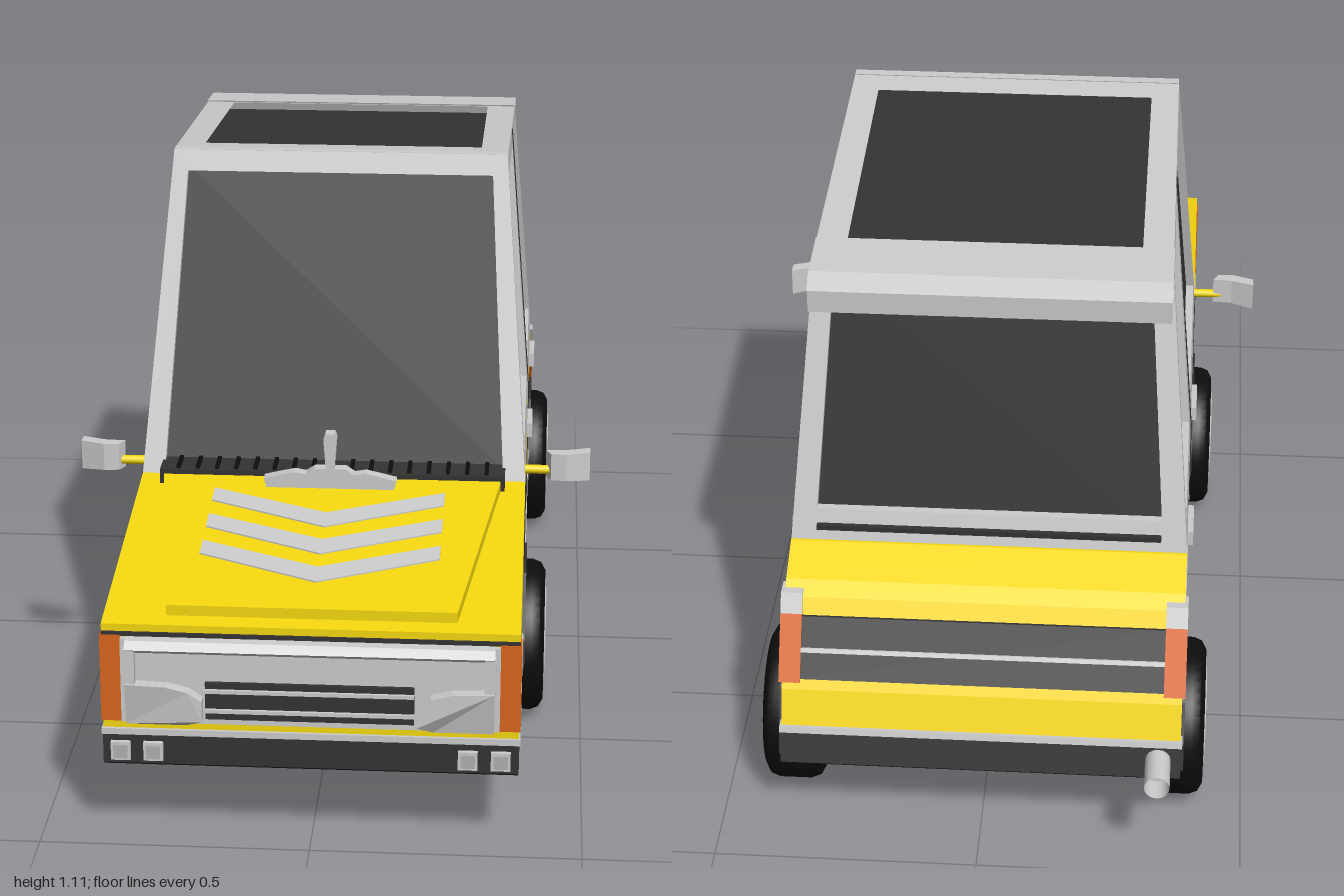
import * as THREE from 'three';
import { toCreasedNormals } from 'three/addons/utils/BufferGeometryUtils.js';
import { ConvexGeometry } from 'three/addons/geometries/ConvexGeometry.js';

const mat = (color) => new THREE.MeshStandardMaterial({ color });
const grey = mat(0xcccccc), yellow = mat(0xf5d70f), dark = mat(0x333333);
const black = mat(0x0d0d0d), orange = mat(0xd9641e);

// Sloping surfaces of the car
const sideX = (y) => 0.38 - Math.max(0, y - 0.5) * 0.08;
const frontZ = (y) => 0.38 - 0.344 * (y - 0.5);
const rearZ = (y) => -0.655 + 0.257 * (y - 0.5);
const roofY = (z) => 1.095 + 0.09 * z;
const wingY = (z) => 0.43 + 0.12 * (0.965 - z);
const tailZ = (y) => -0.77 - (0.445 - y) * 0.548;

export function createModel() {
  const car = new THREE.Group();
  car.name = 'car';

  const add = (name, geometry, material, parent = car) => {
    const mesh = new THREE.Mesh(geometry, material);
    mesh.name = name;
    parent.add(mesh);
    return mesh;
  };
  const toPoints = (list) => list.map(([a, b]) => new THREE.Vector2(a, b));

  // Extrude an outline with holes, then place each vertex by a rule (a, b, depth) -> [x, y, z]
  const panel = (name, outline, holes, t, material, rule) => {
    const shape = new THREE.Shape(toPoints(outline));
    holes.forEach((h) => shape.holes.push(new THREE.Path(toPoints(h))));
    const g = new THREE.ExtrudeGeometry(shape, { depth: t, bevelEnabled: false });
    const p = g.attributes.position;
    for (let i = 0; i < p.count; i++) p.setXYZ(i, ...rule(p.getX(i), p.getY(i), p.getZ(i)));
    g.computeVertexNormals();
    return add(name, g, material);
  };
  // Side outline in (z, y) running across from x0 to x1
  const prism = (name, outline, x0, x1, material) =>
    panel(name, outline, [], x1 - x0, material, (a, b, d) => [x1 - d, b, a]);
  const across = (name, outline, half, material) => prism(name, outline, -half, half, material);
  // Panel lying on one flank, standing proud by out
  const flank = (name, s, outline, holes, t, out, material) =>
    panel(name, outline, holes, t, material, (a, b, d) =>
      [s > 0 ? sideX(b) + out - d : -sideX(b) - out + t - d, b, a]);
  const box = (name, w, h, d, x, y, z, material) =>
    add(name, new THREE.BoxGeometry(w, h, d), material).position.set(x, y, z);
  const mirrored = (half) => [...half, ...half.map(([x, y]) => [-x, y]).reverse()];

  // Lower body
  across('body', [[0.965, 0.21], [0.965, 0.43], [0.38, 0.5], [-0.66, 0.5], [-0.74, 0.465],
    [-0.77, 0.445], [-0.855, 0.29], [-0.885, 0.21]], 0.38, yellow);
  across('sill', [[0.97, 0.155], [0.97, 0.213], [-0.888, 0.213], [-0.905, 0.155]], 0.381, dark);
  across('floor', [[0.968, 0.152], [0.968, 0.156], [-0.903, 0.156], [-0.903, 0.152]], 0.38, black);
  across('trimLine', [[0.971, 0.212], [0.971, 0.224], [-0.886, 0.224], [-0.889, 0.212]], 0.383, grey);

  // Bonnet with chevron stripes
  panel('bonnet', [[0.265, 0.93], [0.335, 0.4], [-0.335, 0.4], [-0.265, 0.93]], [], 0.03, yellow,
    (a, b, d) => [a, wingY(b) + 0.02 - d, b]);
  for (let i = 0; i < 3; i++) {
    const z = 0.48 + i * 0.105;
    panel('bonnetStripe', [[0, z + 0.09], [0.225, z], [0.225, z + 0.05], [0, z + 0.145],
      [-0.225, z + 0.05], [-0.225, z]], [], 0.006, grey,
    (a, b, d) => [a, wingY(b) + 0.023 - d, b]);
  }

  // Cowl vent and bonnet ornament
  box('cowl', 0.68, 0.03, 0.075, 0, 0.51, 0.385, dark);
  for (let i = -8; i <= 8; i++) box('cowlRib', 0.008, 0.006, 0.06, i * 0.038, 0.527, 0.385, black);
  const ornament = (name, outline) => panel(name, outline, [], 0.025, grey, (a, b, d) => [a, b, 0.443 + d]);
  ornament('ornamentBase', mirrored([[0.085, 0.505], [0.06, 0.53], [0.03, 0.55]]));
  ornament('ornamentFin', mirrored([[0.008, 0.54], [0.013, 0.612], [0.009, 0.622]]));
  for (const s of [1, -1]) {
    ornament('ornamentWing', [[0.03, 0.535], [0.055, 0.508], [0.125, 0.51], [0.13, 0.528], [0.07, 0.542]]
      .map(([x, y]) => [x * s, y]));
  }

  // Nose: recessed panel, brow, grille and lamps
  box('nosePanel', 0.69, 0.165, 0.02, 0, 0.323, 0.966, grey);
  box('noseGap', 0.76, 0.008, 0.01, 0, 0.412, 0.964, dark);
  across('noseBrow', [[0.96, 0.385], [0.99, 0.385], [0.997, 0.392], [0.985, 0.406], [0.96, 0.408]], 0.335, grey);
  box('grille', 0.38, 0.072, 0.02, 0, 0.29, 0.974, dark);
  for (const y of [0.272, 0.311]) box('grilleBar', 0.38, 0.007, 0.008, 0, y, 0.986, grey);
  for (const s of [1, -1]) {
    panel('headlight', [[0.335, 0.24], [0.225, 0.24], [0.195, 0.255], [0.195, 0.295], [0.22, 0.312],
      [0.26, 0.322], [0.335, 0.325]].map(([x, y]) => [x * s, y]), [], 0.035, grey,
    (a, b, d) => [a, b, 0.965 + d * (b < 0.25 ? 0.5 : 1)]);
    box('headlightCheek', 0.02, 0.07, 0.03, s * 0.327, 0.355, 0.98, grey);
    box('indicator', 0.038, 0.17, 0.036, s * 0.364, 0.325, 0.953, orange);
    for (const x of [0.288, 0.348]) {
      box('fogLampRim', 0.036, 0.036, 0.014, s * x, 0.182, 0.972, grey);
      box('fogLamp', 0.026, 0.026, 0.014, s * x, 0.182, 0.975, mat(0xb0b0b0));
    }
  }

  // Tail: dark bands, dividing line and lamps on the rear slope
  const tailBand = (name, y0, y1, x0, x1, out, material) => prism(name,
    [[tailZ(y0) + 0.03, y0], [tailZ(y0) - out, y0], [tailZ(y1) - out, y1], [tailZ(y1) + 0.03, y1]], x0, x1, material);
  tailBand('tailPanel', 0.31, 0.415, -0.345, 0.345, 0.005, dark);
  tailBand('tailLine', 0.356, 0.363, -0.345, 0.345, 0.008, grey);
  for (const s of [1, -1]) {
    const [x0, x1] = s > 0 ? [0.345, 0.386] : [-0.386, -0.345];
    tailBand('tailLamp', 0.305, 0.42, x0, x1, 0.008, orange);
    tailBand('reverseLamp', 0.42, 0.455, x0, x1, 0.008, grey);
  }
  const pipe = new THREE.CylinderGeometry(0.024, 0.024, 0.085, 16, 1, true).rotateX(Math.PI / 2);
  const pipeMat = mat(0xcccccc);
  pipeMat.side = THREE.DoubleSide;
  add('exhaust', pipe, pipeMat).position.set(-0.338, 0.205, -0.9575);
  add('exhaustCore', new THREE.CircleGeometry(0.024, 16), pipeMat).position.set(-0.338, 0.205, -0.95);

  // Cabin: dark glass core inside grey frames
  const glass = [];
  for (const s of [1, -1]) {
    for (const [x, y, z] of [[0.365, 0.49, 0.364], [0.318, 1.09, 0.16], [0.321, 1.033, -0.503], [0.365, 0.49, -0.64]])
      glass.push(new THREE.Vector3(s * x, y, z));
  }
  add('glass', new ConvexGeometry(glass), dark);
  for (const s of [1, -1]) {
    flank('sideFrame', s, [[0.38, 0.5], [0.17, 1.11], [-0.515, 1.048], [-0.655, 0.5]], [
      [[0.32, 0.545], [0.163, 1.07], [-0.163, 1.043], [-0.135, 0.545]],
      [[-0.25, 0.545], [-0.237, 1.037], [-0.49, 1.012], [-0.61, 0.545]]], 0.022, 0, grey);
  }
  panel('windscreenFrame', mirrored([[0.379, 0.5], [0.331, 1.11]]),
    [mirrored([[0.335, 0.52], [0.303, 1.07]])], 0.022, grey, (a, b, d) => [a, b, frontZ(b) - 0.022 + d]);
  panel('rearFrame', mirrored([[0.379, 0.5], [0.336, 1.047]]),
    [mirrored([[0.33, 0.56], [0.3, 1.0]])], 0.022, grey, (a, b, d) => [a, b, rearZ(b) + d]);
  panel('roofFrame', mirrored([[0.332, 0.17], [0.337, -0.515]]),
    [mirrored([[0.278, 0.09], [0.278, -0.46]])], 0.022, grey, (a, b, d) => [a, roofY(b) - d, b]);
  across('spoiler', [[-0.465, 1.056], [-0.58, 1.046], [-0.602, 1.036], [-0.61, 1.02], [-0.608, 0.975],
    [-0.58, 0.975], [-0.575, 1.01], [-0.48, 1.02]], 0.338, grey);
  box('rearWindowSeal', 0.66, 0.01, 0.015, 0, 0.528, -0.65, dark);

  // Flank details, mirrored
  const tire = toCreasedNormals(new THREE.LatheGeometry(toPoints([[0, -0.056], [0.125, -0.056], [0.145, -0.046],
    [0.152, -0.028], [0.152, 0.032], [0.146, 0.048], [0.13, 0.057], [0.104, 0.057], [0.1, 0.042], [0, 0.042]]), 40), 0.7);
  const rim = toCreasedNormals(new THREE.LatheGeometry(toPoints([[0.104, 0.03], [0.104, 0.055], [0.095, 0.06],
    [0.086, 0.046], [0.066, 0.046], [0.061, 0.053], [0.036, 0.053], [0.032, 0.059], [0, 0.059]]), 40), 0.4);
  for (const s of [1, -1]) {
    for (const z of [0.335, -0.705]) {
      flank('wheelArch', s, [[0.18, 0.158], [0.165, 0.21], [0.13, 0.28], [0.08, 0.32], [-0.08, 0.32],
        [-0.13, 0.28], [-0.165, 0.21], [-0.18, 0.158]].map(([a, y]) => [a + z, y]), [], 0.02, 0.006, dark);
      const wheel = new THREE.Group();
      wheel.name = 'wheel';
      wheel.rotation.z = -s * Math.PI / 2;
      wheel.position.set(s * 0.367, 0.154, z);
      add('tire', tire, black, wheel);
      add('rim', rim, grey, wheel);
      car.add(wheel);
    }
    flank('doorSeam', s, [[-0.188, 0.235], [-0.196, 0.235], [-0.196, 0.5], [-0.188, 0.5]], [], 0.01, 0.002, dark);
    flank('pillarSeam', s, [[-0.188, 0.5], [-0.196, 0.5], [-0.203, 1.07], [-0.195, 1.07]], [], 0.01, 0.002, dark);
    flank('frontDoorSeam', s, [[0.376, 0.5], [0.368, 0.5], [0.36, 0.41], [0.335, 0.31], [0.343, 0.31], [0.368, 0.41]],
      [], 0.01, 0.002, dark);
    for (const z of [-0.048, -0.512]) box('doorHandle', 0.014, 0.03, 0.095, s * 0.384, 0.47, z, grey);

    // Door mirror on its stalk
    const stalk = new THREE.CylinderGeometry(0.009, 0.009, 0.075, 10).rotateZ(Math.PI / 2);
    add('mirrorStalk', stalk, yellow).position.set(s * 0.4, 0.514, 0.345);
    panel('mirror', [[0.42, 0.338], [0.43, 0.36], [0.46, 0.363], [0.507, 0.345], [0.507, 0.318], [0.46, 0.335]]
      .map(([x, z]) => [s * x, z]), [], 0.055, grey,
    (a, b, d) => [a, 0.552 - d * (Math.abs(a) > 0.5 ? 1.08 : 1), b]);
  }
  return car;
}
